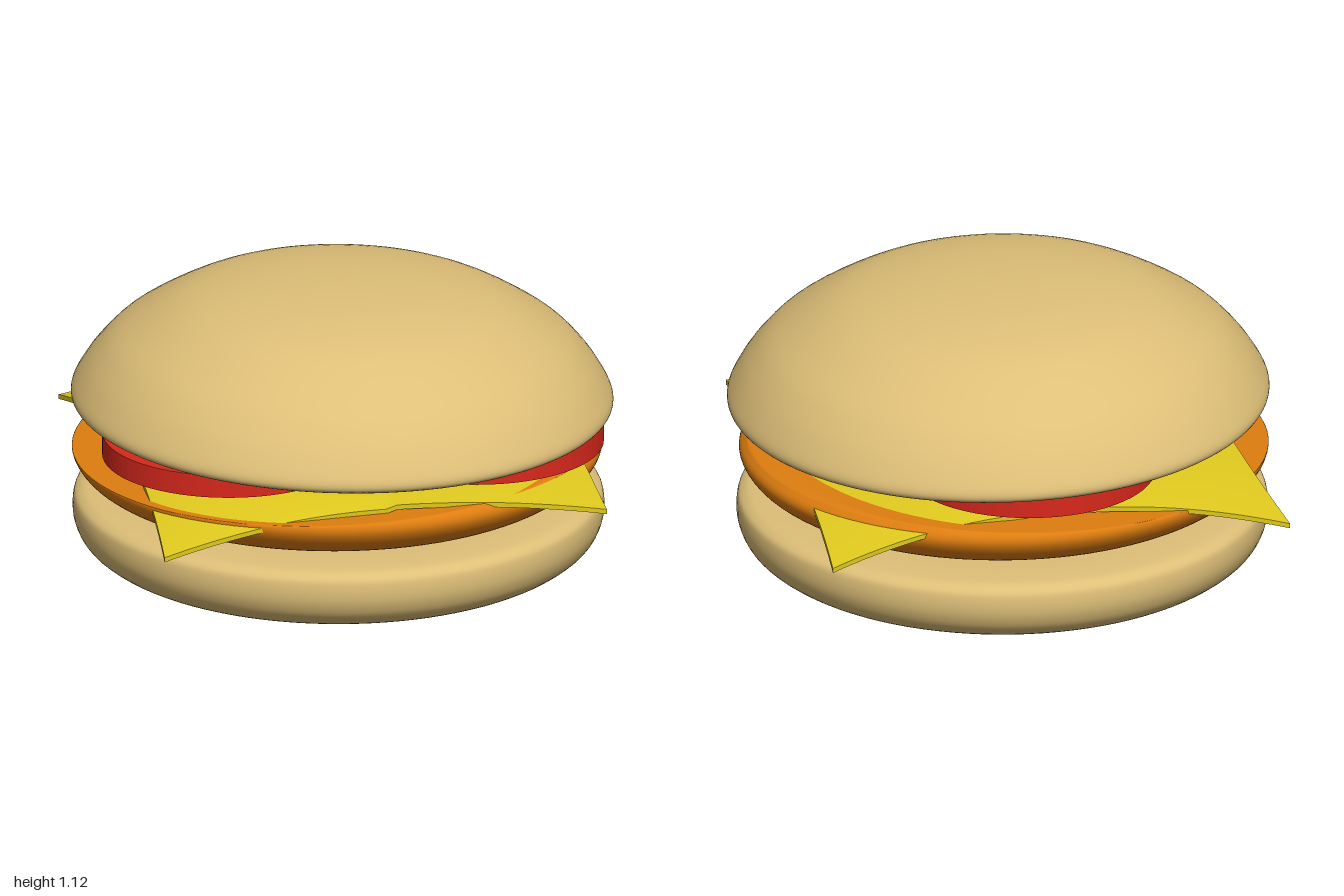
import * as THREE from 'three';
import { mergeVertices } from 'three/addons/utils/BufferGeometryUtils.js';

const material = (color) => new THREE.MeshStandardMaterial({ color });

// Moves each vertex by a rule, then rebuilds the normals.
function reshape(geometry, rule) {
  const pos = geometry.attributes.position;
  const p = new THREE.Vector3();
  for (let i = 0; i < pos.count; i++) {
    rule(p.fromBufferAttribute(pos, i));
    pos.setXYZ(i, p.x, p.y, p.z);
  }
  geometry.computeVertexNormals();
  return geometry;
}

// Smooth round body from a few [radius, height] points, bottom to top.
function roundBody(points) {
  const curve = new THREE.SplineCurve(points.map(([r, y]) => new THREE.Vector2(r, y)));
  const profile = curve.getPoints(56);
  profile.forEach((p) => { p.x = Math.max(p.x, 0); });
  const geometry = new THREE.LatheGeometry(profile, 96);
  geometry.deleteAttribute('uv');
  geometry.deleteAttribute('normal');
  const welded = mergeVertices(geometry, 1e-5);
  welded.computeVertexNormals();
  return welded;
}

function makeCheese() {
  // Corner positions and how far each hangs down
  const corners = [
    { x: -0.82, z: 0.79, drop: 0.16 },
    { x: 0.815, z: 0.81, drop: 0.085 },
    { x: -0.88, z: -0.87, drop: 0.13 },
    { x: 0.835, z: -0.88, drop: 0.125 },
  ];
  const half = 0.8;
  const geometry = new THREE.BoxGeometry(2, 0.018, 2, 40, 1, 40);
  return reshape(geometry, (p) => {
    const u = p.x, v = p.z;
    const corner = corners[(u > 0 ? 1 : 0) + (v > 0 ? 0 : 2)];
    const flare = Math.pow(Math.abs(u * v), 2.5);
    p.x = half * u + flare * (corner.x - half * Math.sign(u));
    p.z = half * v + flare * (corner.z - half * Math.sign(v));
    const reach = Math.hypot(corner.x, corner.z);
    const t = Math.max(0, (Math.hypot(p.x, p.z) - 0.68) / (reach - 0.68));
    p.y += 0.545 - corner.drop * Math.pow(t, 1.3);
  });
}

export function createModel() {
  const group = new THREE.Group();
  const bread = material(0xdebf78);
  const add = (name, geometry, mat) => {
    const mesh = new THREE.Mesh(geometry, mat);
    mesh.name = name;
    group.add(mesh);
    return mesh;
  };

  // Bottom bun: shallow bowl below, flat top with a rounded rim
  const bottomBun = add('bottomBun', roundBody([
    [0, 0.003], [0.3, 0.008], [0.6, 0.034], [0.82, 0.082], [0.92, 0.135],
    [0.96, 0.2], [0.965, 0.27], [0.945, 0.31], [0.87, 0.328], [0.6, 0.33], [0, 0.33],
  ]), bread);
  bottomBun.position.set(-0.01, 0, -0.035);

  // Patty: its top is pressed down towards one side
  const patty = roundBody([
    [0, 0.33], [0.45, 0.33], [0.7, 0.336], [0.83, 0.36], [0.92, 0.41],
    [0.963, 0.47], [0.95, 0.515], [0.89, 0.535], [0.6, 0.54], [0, 0.54],
  ]);
  reshape(patty, (p) => {
    p.y = Math.min(p.y, 0.51 + 0.031 * p.x);
    p.x -= 0.018;
    p.z = p.z * 0.96 - 0.025;
  });
  add('patty', patty, material(0xdf7e10));

  add('cheese', makeCheese(), material(0xdec81e));

  // Three tomato slices side by side
  const tomato = material(0xd8281c);
  const slice = new THREE.CylinderGeometry(0.46, 0.46, 0.085, 64);
  [[0.45, 0.595, 0.235], [-0.47, 0.61, 0.23], [0, 0.615, -0.48]].forEach(([x, y, z], i) => {
    add('tomatoSlice' + (i + 1), slice, tomato).position.set(x, y, z);
  });

  // Top bun: domed, with a small rounded rim and a slight tilt
  const topBun = add('topBun', roundBody([
    [0, 0], [0.6, 0], [0.88, 0.003], [0.96, 0.016], [0.986, 0.045], [0.965, 0.1],
    [0.9, 0.195], [0.8, 0.29], [0.6, 0.405], [0.4, 0.457], [0.2, 0.479], [0, 0.485],
  ]), bread);
  topBun.position.set(-0.005, 0.635, 0.003);
  topBun.rotation.z = -0.02;

  return group;
}
